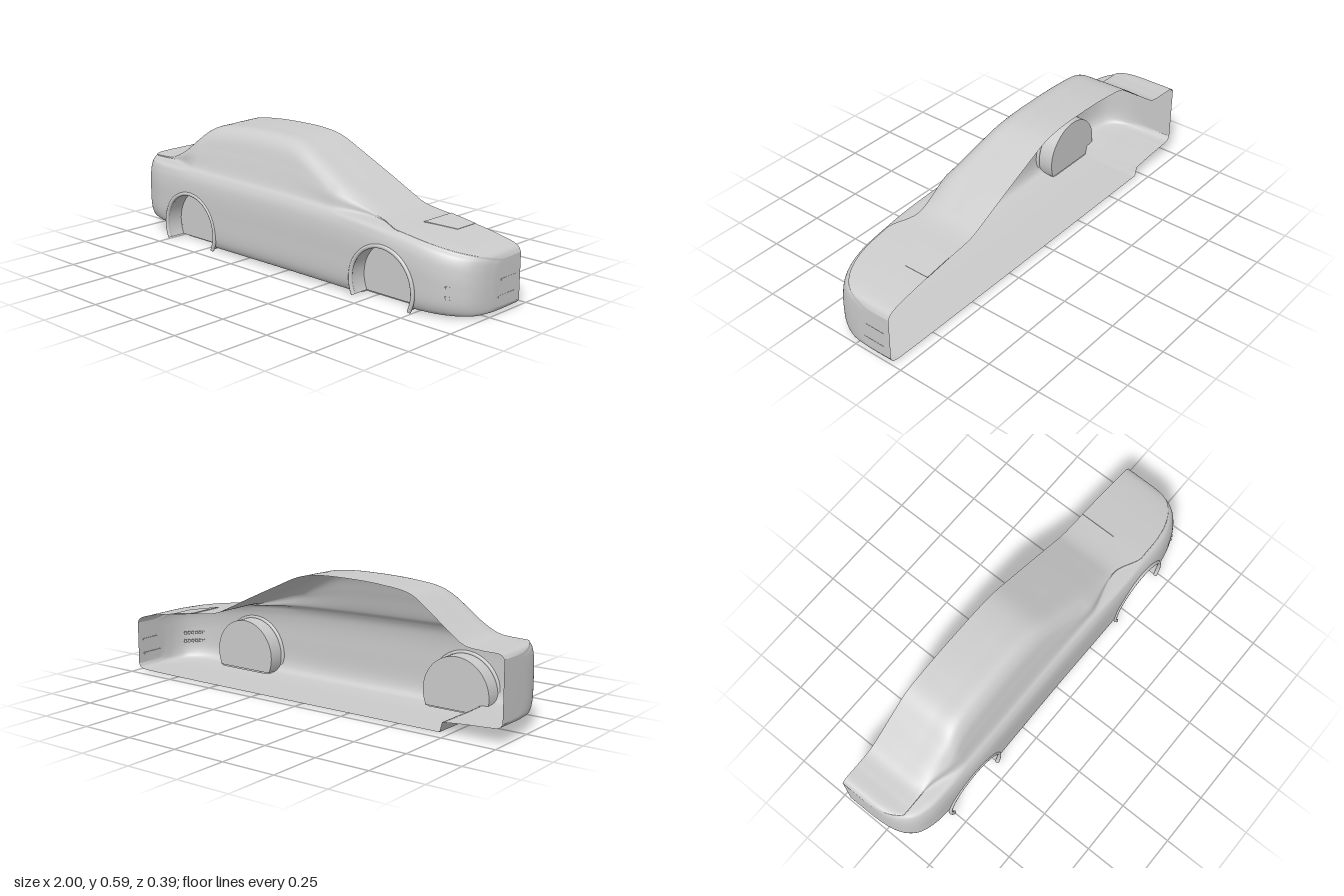
import * as THREE from 'three';
import { mergeVertices } from 'three/addons/utils/BufferGeometryUtils.js';

const CUT = -0.2;                       // open centre plane of the half body
const WELL_Z = 0.1, ARCH_Y = 0.08, ARCH_R = 0.165;
const ARCHES = [-0.6, 0.585];
const DROP = Math.asin((ARCH_Y - 0.008) / ARCH_R);
const { lerp, smoothstep, clamp } = THREE.MathUtils;

const material = new THREE.MeshStandardMaterial({ color: 0xcccccc, side: THREE.DoubleSide });

function add(parent, name, geometry, x = 0, y = 0, z = 0) {
  const mesh = new THREE.Mesh(geometry, material);
  mesh.name = name;
  mesh.position.set(x, y, z);
  parent.add(mesh);
  return mesh;
}

// Smooth lookup of a value along x
function profile(points) {
  const pts = new THREE.CatmullRomCurve3(points.map(([x, v]) => new THREE.Vector3(x, v, 0))).getPoints(500);
  return (x) => {
    let i = 1;
    while (i < pts.length - 1 && pts[i].x < x) i++;
    const a = pts[i - 1], b = pts[i];
    return lerp(a.y, b.y, clamp((x - a.x) / (b.x - a.x || 1), 0, 1));
  };
}

const roofLine = profile([[-1, 0.352], [-0.985, 0.368], [-0.9, 0.373], [-0.82, 0.382], [-0.75, 0.425],
  [-0.65, 0.5], [-0.56, 0.558], [-0.42, 0.58], [-0.22, 0.587], [-0.08, 0.582], [0.01, 0.566], [0.15, 0.505],
  [0.3, 0.435], [0.43, 0.372], [0.5, 0.342], [0.7, 0.314], [0.88, 0.285], [0.97, 0.263], [0.99, 0.25], [1, 0.232]]);
const shoulderLine = profile([[-1, 0.342], [-0.98, 0.358], [-0.85, 0.365], [-0.4, 0.36], [0.1, 0.35],
  [0.45, 0.335], [0.7, 0.306], [0.88, 0.275], [0.97, 0.253], [0.99, 0.24], [1, 0.222]]);
const planLine = profile([[-1, -0.04], [-0.993, 0.03], [-0.97, 0.095], [-0.93, 0.14], [-0.86, 0.167],
  [-0.74, 0.178], [0, 0.177], [0.65, 0.178], [0.79, 0.17], [0.87, 0.15], [0.925, 0.122], [0.965, 0.085],
  [0.988, 0.035], [1, -0.04]]);
const frontSill = profile([[-0.72, 0.006], [0.9, 0.006], [0.97, 0.009], [0.99, 0.015], [1, 0.03]]);
const rearSill = profile([[-1, 0.09], [-0.985, 0.073], [-0.93, 0.066], [-0.83, 0.06], [-0.72, 0.05]]);

// One cross-section: floor, sill, flank, shoulder, window side and roof
function section(x) {
  const w = planLine(x), d = shoulderLine(x);
  const b = x < -0.722 ? rearSill(x) : frontSill(x);
  const r = Math.max(roofLine(x), d + 0.006);
  const h = r - d, k = Math.min(1, h / 0.12);
  const taper = 0.05 * (smoothstep(x, 0.25, 0.5) * (1 - smoothstep(x, 0.5, 0.65)) + 1 - smoothstep(x, -0.82, -0.6));
  const base = Math.min(0.145 - taper, w - 0.035);
  const edge = base - 0.36 * (h - 0.045 * k);
  const top = edge - 0.04;
  const pts = [
    [CUT, b], [w - 0.07, b], [w - 0.02, b + 0.01], [w, b + 0.045], [w + 0.006, (b + d) / 2],
    [w + 0.004, d - 0.085], [w - 0.004, d - 0.04], [w - 0.018, d - 0.012], [base, d + 0.04 * h],
    [lerp(base, edge, 0.5), d + h * 0.45], [edge, r - 0.045 * k], [top, r - 0.012 * k],
    [lerp(top, CUT, 0.4), r - 0.004 * k], [CUT, r],
  ].map(([z, y]) => new THREE.Vector3(x, y, Math.max(CUT, z)));
  return new THREE.CatmullRomCurve3(pts).getPoints(104);
}

// Keep the part of a polygon outside a wheel housing
function clip(poly, cx) {
  const f = (p) => Math.max(Math.hypot(p.x - cx, p.y - ARCH_Y) - ARCH_R, WELL_Z - p.z);
  const out = [];
  poly.forEach((p, i) => {
    const q = poly[(i + 1) % poly.length], fp = f(p), fq = f(q);
    if (fp >= 0) out.push(p);
    if ((fp >= 0) !== (fq >= 0)) out.push(p.clone().lerp(q, fp / (fp - fq)));
  });
  return out;
}

function bodyGeometry() {
  const rings = [], N = 170;
  for (let i = 0; i <= N; i++) {
    const t = i / N;
    rings.push(section(lerp(2 * t - 1, -Math.cos(Math.PI * t), 0.75)));
  }
  // Flat nose and tail faces close back to the centre plane
  const flatten = (ring) => ring.map((p) => new THREE.Vector3(p.x, p.y, CUT));
  rings.unshift(flatten(rings[0]));
  rings.push(flatten(rings[rings.length - 1]));

  const pos = [];
  const emit = (tri) => {
    const poly = ARCHES.reduce((p, cx) => clip(p, cx), tri);
    for (let i = 1; i < poly.length - 1; i++)
      for (const p of [poly[0], poly[i], poly[i + 1]]) pos.push(p.x, p.y, p.z);
  };
  for (let i = 0; i < rings.length - 1; i++) {
    const A = rings[i], B = rings[i + 1];
    for (let j = 0; j < A.length - 1; j++) {
      emit([A[j], B[j], B[j + 1]]);
      emit([A[j], B[j + 1], A[j + 1]]);
    }
  }
  const g = new THREE.BufferGeometry();
  g.setAttribute('position', new THREE.Float32BufferAttribute(pos, 3));
  const merged = mergeVertices(g, 1e-5);
  merged.computeVertexNormals();
  return merged;
}

export function createModel() {
  const car = new THREE.Group();
  car.name = 'halfCarBody';
  add(car, 'bodyShell', bodyGeometry());

  // Wheel housings with raised arch lips
  for (const cx of ARCHES) {
    const arch = new THREE.Group();
    arch.name = cx > 0 ? 'frontWheelHousing' : 'rearWheelHousing';
    arch.position.set(cx, ARCH_Y, 0);
    car.add(arch);
    const sweep = Math.PI + 2 * DROP;
    const disc = new THREE.Shape().absarc(0, 0, ARCH_R, -DROP, Math.PI + DROP, false);
    add(arch, 'housingBack', new THREE.ShapeGeometry(disc, 48), 0, 0, WELL_Z);
    const wall = new THREE.CylinderGeometry(ARCH_R, ARCH_R, 0.084, 48, 1, true, Math.PI / 2 - DROP, sweep);
    add(arch, 'housingWall', wall.rotateX(Math.PI / 2), 0, 0, WELL_Z + 0.042);
    const lip = new THREE.TorusGeometry(ARCH_R + 0.003, 0.009, 10, 64, sweep).rotateZ(-DROP);
    add(arch, 'archLip', lip, 0, 0, 0.183);
  }

  // Corner lamp: two rows of short slats across the rounded nose corner
  const lamp = new THREE.Group();
  lamp.name = 'cornerLamp';
  lamp.position.set(0.924, 0, 0.112);
  lamp.rotation.y = Math.PI / 4;
  car.add(lamp);
  for (const y of [0.095, 0.136])
    for (let i = 0; i < 6; i++) {
      const u = (i - 2.5) * 0.018;
      const slat = add(lamp, 'lampSlat', new THREE.BoxGeometry(0.012, 0.014, 0.01), u, y, 0.004 - 1.5 * u * u);
      slat.rotation.z = 0.25;
    }

  // Narrow slots in the nose
  add(car, 'upperNoseSlot', new THREE.BoxGeometry(0.006, 0.007, 0.1), 0.998, 0.145, -0.12);
  add(car, 'lowerNoseSlot', new THREE.BoxGeometry(0.006, 0.008, 0.11), 0.998, 0.075, -0.11);

  // Shallow bonnet vent
  const vent = new THREE.Shape([[0.64, 0.2], [0.64, 0.02], [0.77, 0.08], [0.77, 0.2]].map(([x, y]) => new THREE.Vector2(x, y)));
  const ventGeometry = new THREE.ExtrudeGeometry(vent, { depth: 0.004, bevelEnabled: false });
  ventGeometry.rotateX(-Math.PI / 2).translate(-0.64, 0, 0);
  add(car, 'bonnetVent', ventGeometry, 0.64, 0.321, 0).rotation.z = -0.15;

  return car;
}
